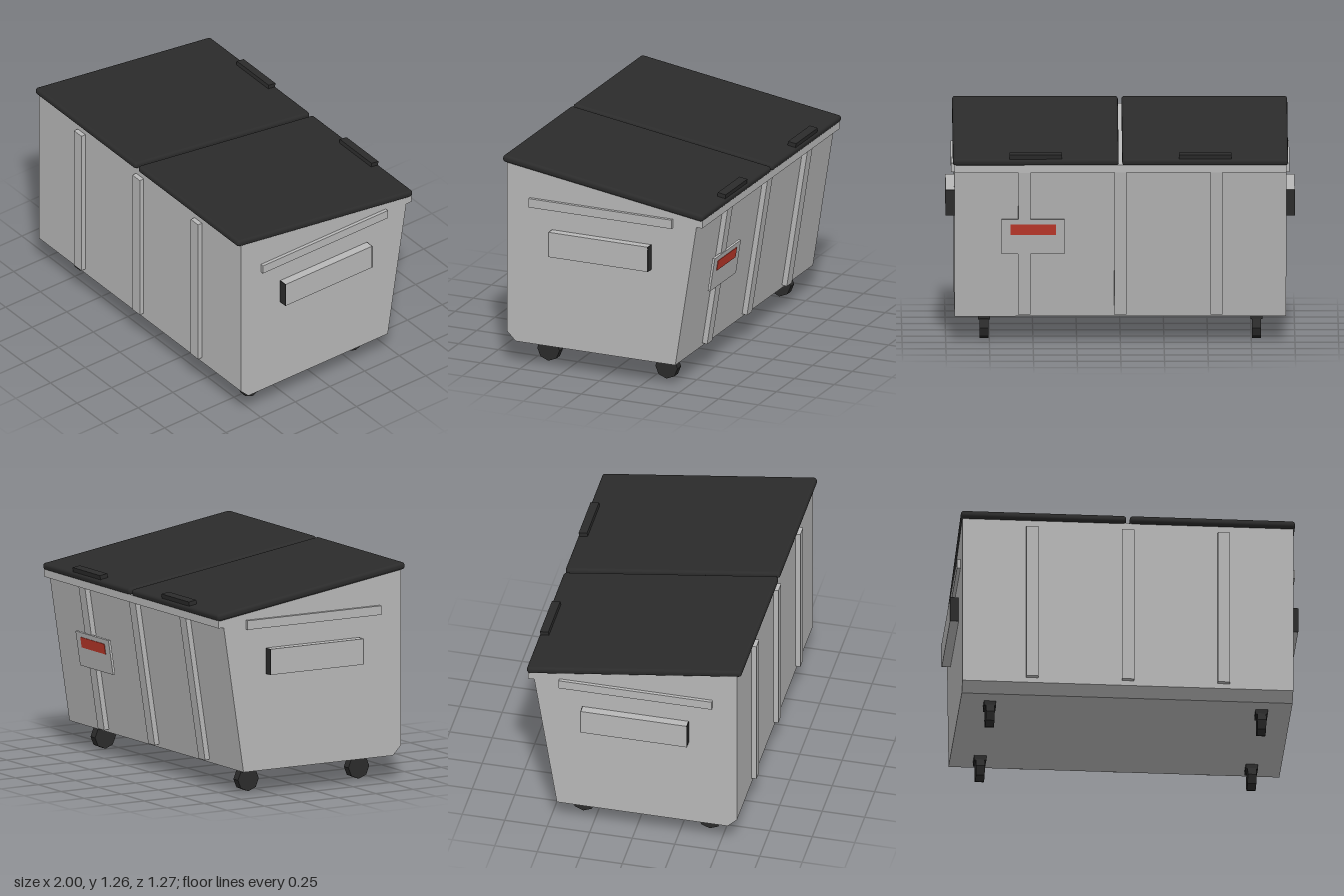
import * as THREE from 'three';
import { RoundedBoxGeometry } from 'three/addons/geometries/RoundedBoxGeometry.js';

const material = (name, color) => {
  const m = new THREE.MeshStandardMaterial({ color });
  m.name = name;
  return m;
};

export function createModel() {
  const steel = material('grey steel', 0xb8b8b8);
  const black = material('black plastic', 0x2b2b2b);
  const red = material('red label', 0xc0392b);
  const model = new THREE.Group();
  model.name = 'wheeledWasteContainer';

  const add = (parent, name, geometry, mat, x = 0, y = 0, z = 0) => {
    const mesh = new THREE.Mesh(geometry, mat);
    mesh.name = name;
    mesh.position.set(x, y, z);
    parent.add(mesh);
    return mesh;
  };
  // Box given by its limits on each axis
  const box = (parent, name, mat, [x0, x1], [y0, y1], [z0, z1]) =>
    add(parent, name, new THREE.BoxGeometry(x1 - x0, y1 - y0, z1 - z0), mat,
      (x0 + x1) / 2, (y0 + y1) / 2, (z0 + z1) / 2);
  const group = (name, y, z, tilt) => {
    const g = new THREE.Group();
    g.name = name;
    g.position.set(0, y, z);
    g.rotation.x = tilt;
    model.add(g);
    return g;
  };

  // Body: side profile (z, y) extruded across the width
  const profile = [[0.605, 0.2], [0.605, 1.225], [-0.595, 1.045], [-0.455, 0.145], [0.55, 0.145]];
  const shape = new THREE.Shape(profile.map(([z, y]) => new THREE.Vector2(z, y)));
  const bodyGeometry = new THREE.ExtrudeGeometry(shape, { depth: 1.9, bevelEnabled: false });
  bodyGeometry.rotateY(-Math.PI / 2).translate(0.95, 0, 0);
  add(model, 'body', bodyGeometry, steel);

  // Ribs on the front, and on the back in a frame tilted with the sloping wall
  const back = group('backFittings', 0.145, -0.455, -Math.atan(0.155));
  for (const x of [-0.55, 0, 0.55]) {
    box(model, 'frontRib', steel, [x - 0.035, x + 0.035], [0.23, 1.175], [0.6, 0.633]);
    box(back, 'backRib', steel, [x - 0.035, x + 0.035], [0.02, 0.88], [-0.031, 0.005]);
  }
  box(back, 'signPlate', steel, [0.32, 0.68], [0.385, 0.59], [-0.036, -0.022]);
  box(back, 'signLabel', red, [0.37, 0.63], [0.5, 0.562], [-0.039, -0.035]);
  box(model, 'backRail', steel, [-0.95, 0.95], [1.0, 1.045], [-0.625, -0.58]);

  // Lids with hinge tabs
  const lids = group('lids', 1.152, -0.001, -Math.atan(0.149));
  for (const side of [-1, 1]) {
    add(lids, 'lid', new RoundedBoxGeometry(0.95, 0.042, 1.276, 2, 0.018), black, side * 0.485);
    add(lids, 'hingeTab', new THREE.BoxGeometry(0.3, 0.03, 0.05), black, side * 0.485, 0.03, -0.603);
  }

  for (const side of [-1, 1]) {
    // Side rail and lifting pocket with dark open ends
    add(model, 'sideRail', new THREE.BoxGeometry(0.03, 0.053, 0.9), steel, side * 0.955, 1.003, 0.01);
    add(model, 'liftPocket', new THREE.BoxGeometry(0.06, 0.15, 0.62), steel, side * 0.97, 0.78, 0.008);
    for (const z of [-0.303, 0.319]) {
      add(model, 'pocketOpening', new THREE.BoxGeometry(0.06, 0.15, 0.004), black, side * 0.97, 0.78, z);
    }

    // Casters
    for (const z of [0.41, -0.333]) {
      add(model, 'casterMount', new THREE.BoxGeometry(0.07, 0.03, 0.092), black, side * 0.78, 0.131, z);
      const wheel = new THREE.CylinderGeometry(0.07, 0.07, 0.05, 8).toNonIndexed();
      wheel.rotateZ(Math.PI / 2).computeVertexNormals();
      add(model, 'casterWheel', wheel, black, side * 0.78, 0.07, z);
    }
  }
  return model;
}
